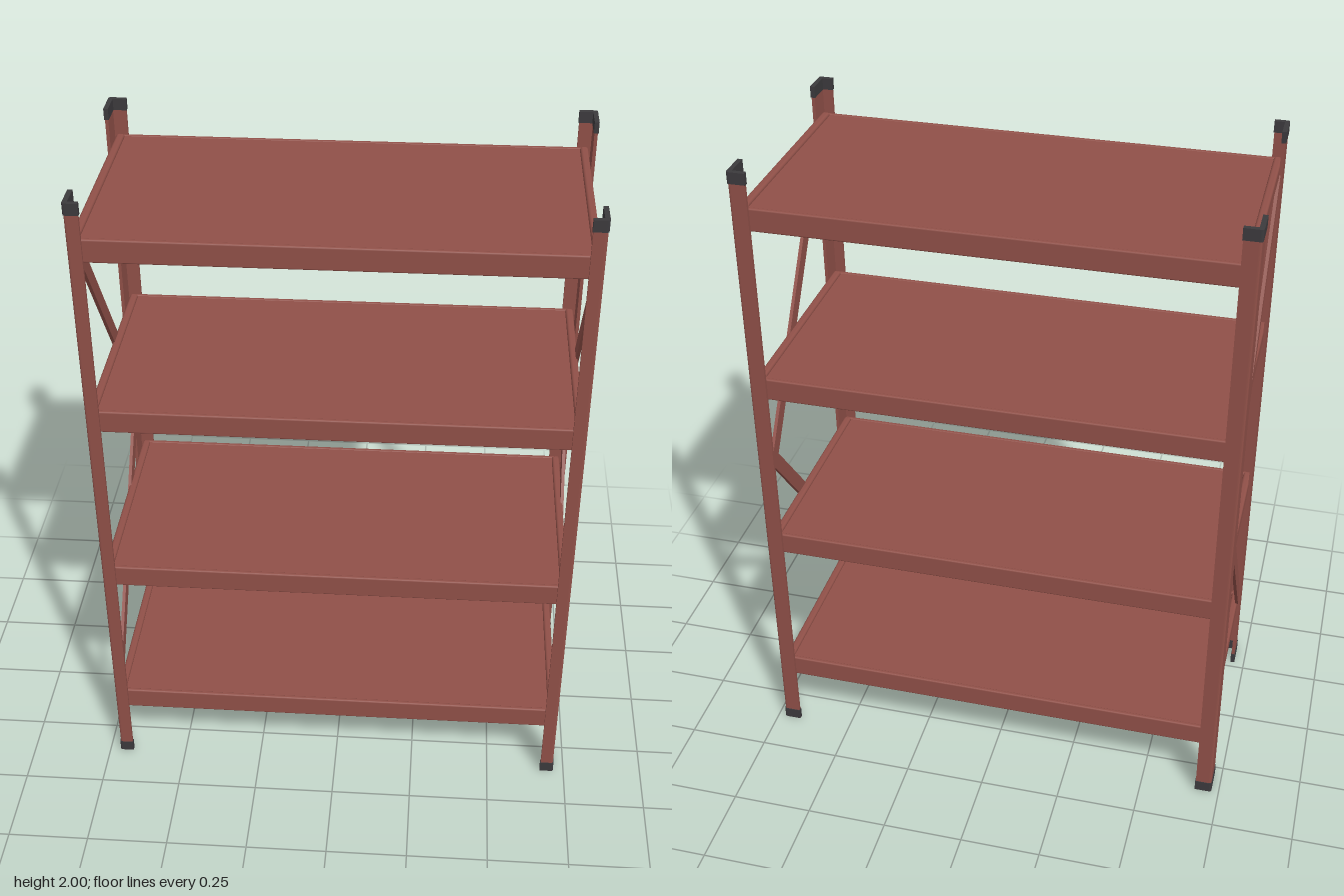
import * as THREE from 'three';
import { RoundedBoxGeometry } from 'three/addons/geometries/RoundedBoxGeometry.js';

export function createModel() {
  const model = new THREE.Group();
  model.name = 'shelvingRack';
  const red = new THREE.MeshStandardMaterial({ color: 0x905048 });
  red.name = 'rust red steel';
  const dark = new THREE.MeshStandardMaterial({ color: 0x3c3a3d });
  dark.name = 'dark end caps';

  const add = (name, geo, mat, x, y, z, parent = model) => {
    const m = new THREE.Mesh(geo, mat);
    m.name = name;
    m.position.set(x, y, z);
    parent.add(m);
    return m;
  };

  // L-shaped angle profile with a small rounded outer corner, extruded upward
  function angleBar(sx, sz, xOut, zOut, xIn, zIn, t, height) {
    const s = new THREE.Shape();
    const p = (x, z) => [sx * x, -sz * z];
    const r = 0.008;
    s.moveTo(...p(xIn, zOut));
    s.lineTo(...p(xOut - r, zOut));
    s.quadraticCurveTo(...p(xOut, zOut), ...p(xOut, zOut - r));
    s.lineTo(...p(xOut, zIn));
    s.lineTo(...p(xOut - t, zIn));
    s.lineTo(...p(xOut - t, zOut - t));
    s.lineTo(...p(xIn, zOut - t));
    s.closePath();
    const g = new THREE.ExtrudeGeometry(s, { depth: height, bevelEnabled: false, curveSegments: 4 });
    return g.rotateX(-Math.PI / 2);
  }

  // Corner posts with caps at both ends; the rear pair sits slightly wider
  const cap = 0.035;
  for (const sx of [-1, 1]) {
    for (const sz of [-1, 1]) {
      const post = new THREE.Group();
      post.name = (sz > 0 ? 'front' : 'rear') + (sx > 0 ? 'Left' : 'Right') + 'Post';
      model.add(post);
      const xOut = sz > 0 ? 0.715 : 0.725;
      const zOut = sz > 0 ? 0.357 : 0.36;
      const dims = [sx, sz, xOut, zOut, 0.675, 0.275, 0.01];
      add('upright', angleBar(...dims, 2 - 2 * cap), red, 0, cap, 0, post);
      const capDims = [sx, sz, xOut + 0.002, zOut + 0.002, 0.673, 0.273, 0.014];
      add('footCap', angleBar(...capDims, cap), dark, 0, 0, 0, post);
      add('topCap', angleBar(...capDims, cap), dark, 0, 2 - cap, 0, post);
    }
  }
  // Raised tab on one rear foot
  add('footTab', new THREE.BoxGeometry(0.008, 0.09, 0.03), dark, 0.723, 0.045, -0.288);

  // Shelves: a deck with front and rear lips, and a rail under each end
  for (const top of [0.26, 0.77, 1.34, 1.89]) {
    const shelf = new THREE.Group();
    shelf.name = 'shelf';
    shelf.position.y = top;
    model.add(shelf);
    add('deck', new THREE.BoxGeometry(1.37, 0.012, 0.69), red, 0, -0.008, 0, shelf);
    for (const s of [-1, 1]) {
      add('longBeam', new RoundedBoxGeometry(1.41, 0.07, 0.014, 2, 0.005), red, 0, -0.035, s * 0.341, shelf);
      add('endRail', new RoundedBoxGeometry(0.024, 0.05, 0.67, 2, 0.008), red, s * 0.694, -0.017, 0, shelf);
    }
  }

  // Diagonal braces forming a K on each end
  function brace(side, y0, z0, y1, z1) {
    const dy = y1 - y0, dz = z1 - z0;
    const m = add('diagonalBrace', new THREE.BoxGeometry(0.01, Math.hypot(dy, dz), 0.046), red,
      side * 0.705, (y0 + y1) / 2, (z0 + z1) / 2);
    m.rotation.x = Math.atan2(dz, dy);
  }
  for (const side of [-1, 1]) {
    brace(side, 1.86, 0.3, 1.0, -0.3);
    brace(side, 0.27, 0.3, 1.03, -0.3);
  }
  return model;
}
